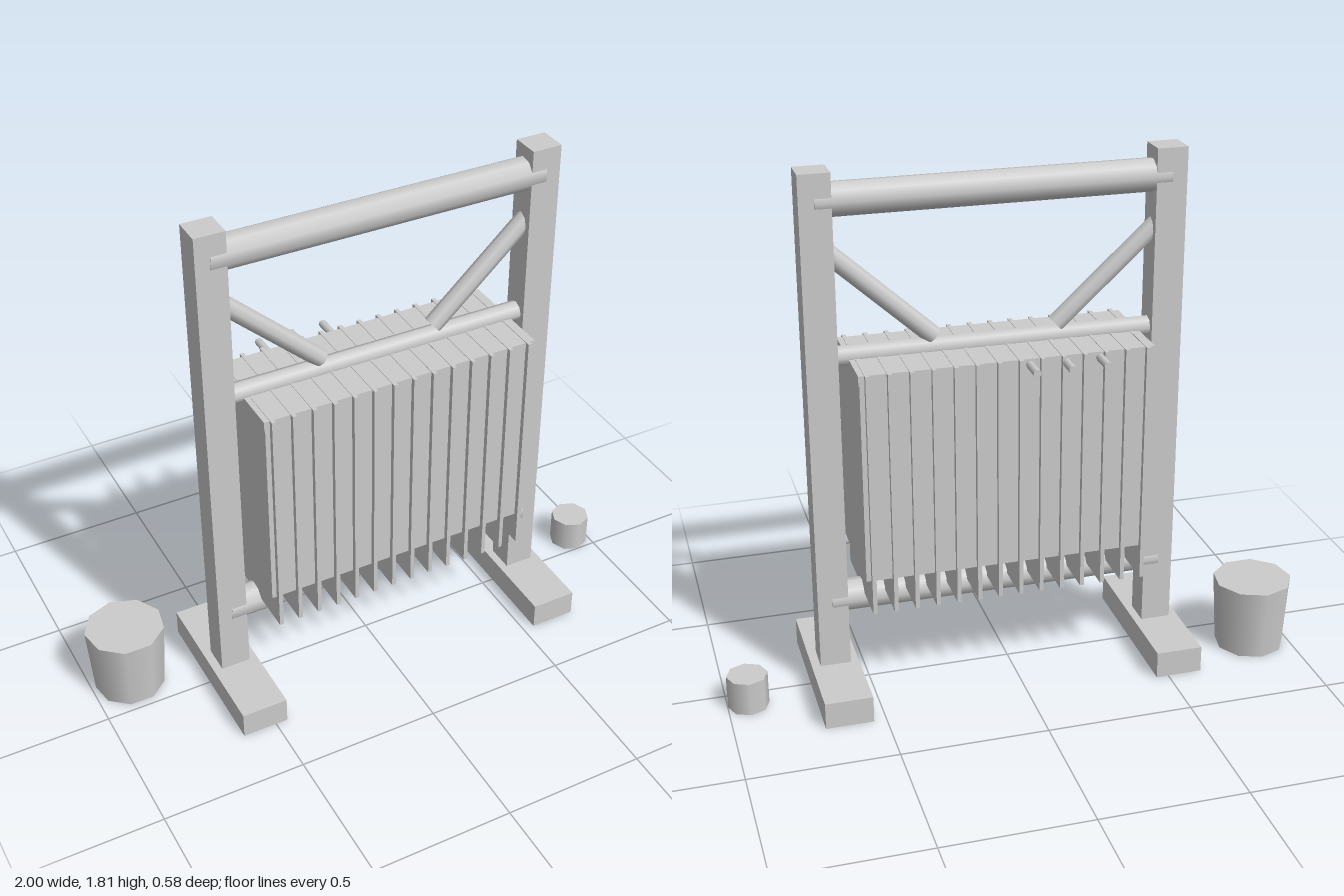
import * as THREE from 'three';

const CX = 0.0425; // middle of the frame

export function createModel() {
  const model = new THREE.Group();
  const mat = new THREE.MeshStandardMaterial({ color: 0xcccccc });

  const add = (name, geo, x, y, z, parent = model) => {
    const mesh = new THREE.Mesh(geo, mat);
    mesh.name = name;
    mesh.position.set(x, y, z);
    parent.add(mesh);
    return mesh;
  };
  const box = (name, w, h, d, x, y, z, parent) =>
    add(name, new THREE.BoxGeometry(w, h, d), x, y, z, parent);
  // round bar with its first corner facing the back
  const round = (rTop, rBottom, h, sides) =>
    new THREE.CylinderGeometry(rTop, rBottom, h, sides).rotateY(Math.PI);
  const beam = (name, r, length, y, sides) =>
    add(name, round(r, r, length, sides).rotateZ(Math.PI / 2), CX, y, 0);

  // uprights, feet and diagonal braces, mirrored about the frame's middle
  for (const s of [-1, 1]) {
    const side = s > 0 ? 'left' : 'right';
    box(side + 'Post', 0.104, 1.72, 0.1, CX + s * 0.58, 0.95, 0);
    box(side + 'Foot', 0.162, 0.094, 0.58, CX + s * 0.581, 0.047, 0);
    const inner = new THREE.Vector3(CX + s * 0.206, 1.235, 0);
    const outer = new THREE.Vector3(CX + s * 0.575, 1.573, 0);
    const dir = outer.clone().sub(inner);
    const brace = add(side + 'Brace', round(0.032, 0.032, dir.length(), 8), 0, 0, 0);
    brace.position.copy(inner).add(outer).multiplyScalar(0.5);
    brace.quaternion.setFromUnitVectors(new THREE.Vector3(0, 1, 0), dir.normalize());
  }

  // cross beams
  beam('topBeam', 0.056, 1.164, 1.714, 9);
  beam('bottomBeam', 0.056, 1.164, 0.33, 9);
  beam('middleBeam', 0.035, 1.12, 1.196, 8);

  // hanging block with its top board
  const stack = new THREE.Group();
  stack.name = 'hangingStack';
  model.add(stack);
  box('block', 0.976, 0.69, 0.36, CX, 0.812, 0, stack);
  box('topBoard', 0.982, 0.034, 0.362, CX, 1.174, 0, stack);

  // row of thin plates through the block
  for (let i = 0; i < 14; i++) {
    box('plate', 0.014, 0.84, 0.395, CX + (i - 6.5) * 0.0715, 0.773, 0, stack);
  }

  // pegs at the back
  for (const x of [-0.26, -0.142, -0.024]) {
    add('peg', round(0.0135, 0.0135, 0.09, 8).rotateX(Math.PI / 2), x, 1.172, -0.22, stack);
  }

  // loose vessels on the ground
  add('bucket', round(0.138, 0.122, 0.256, 9), -0.864, 0.128, -0.143);
  add('cup', round(0.07, 0.07, 0.118, 8), 0.929, 0.059, -0.071);

  return model;
}
